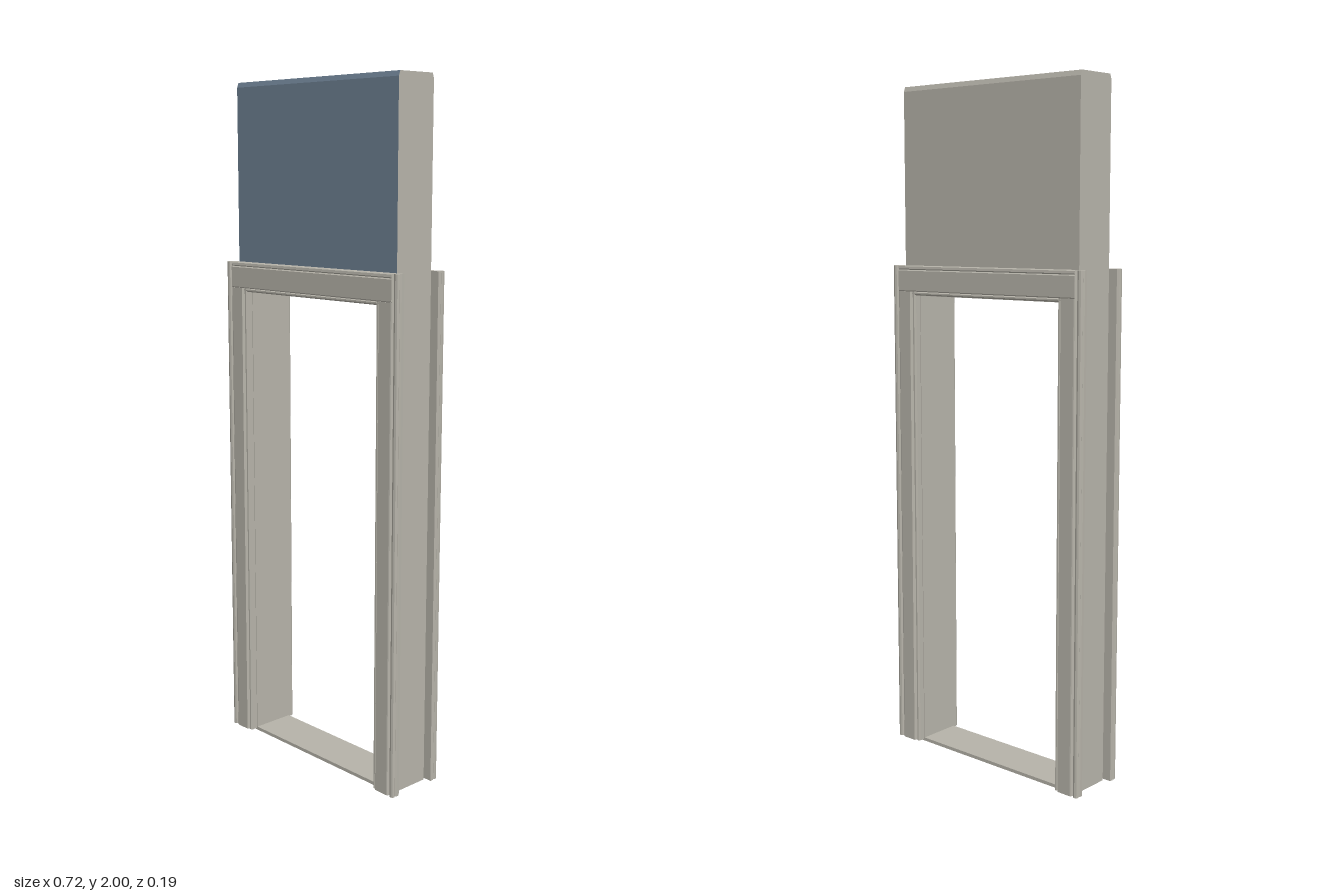
import * as THREE from 'three';

const paint = (name, color) => new THREE.MeshStandardMaterial({ name, color });

export function createModel() {
  const stone = paint('warm grey', 0xb6b3a9);
  const blue = paint('slate blue', 0x6d8092);
  const green = paint('sage green', 0x7c8b78);
  const model = new THREE.Group();

  const box = (name, parent, x0, x1, y0, y1, z0, z1) => {
    const mesh = new THREE.Mesh(new THREE.BoxGeometry(x1 - x0, y1 - y0, z1 - z0), stone);
    mesh.position.set((x0 + x1) / 2, (y0 + y1) / 2, (z0 + z1) / 2);
    mesh.name = name;
    parent.add(mesh);
  };

  // Upright moulding: an (x, z) outline raised from y0 to y1
  const upright = (name, parent, outline, side, y0, y1) => {
    const shape = new THREE.Shape(outline.map(([x, z]) => new THREE.Vector2(x * side, -z)));
    const geo = new THREE.ExtrudeGeometry(shape, { depth: y1 - y0, bevelEnabled: false });
    geo.rotateX(-Math.PI / 2).translate(0, y0, 0);
    const mesh = new THREE.Mesh(geo, stone);
    mesh.name = name;
    parent.add(mesh);
  };

  // Level moulding: a (z, y) outline drawn out along x
  const level = (name, parent, outline, half) => {
    const shape = new THREE.Shape(outline.map(([z, y]) => new THREE.Vector2(-z, y)));
    const geo = new THREE.ExtrudeGeometry(shape, { depth: half * 2, bevelEnabled: false });
    geo.rotateY(Math.PI / 2).translate(-half, 0, 0);
    const mesh = new THREE.Mesh(geo, stone);
    mesh.name = name;
    parent.add(mesh);
  };

  // Wall above the opening, with softened front and back top edges
  const panelGeo = new THREE.BoxGeometry(0.66, 0.608, 0.132, 1, 2, 1).toNonIndexed();
  const p = panelGeo.attributes.position;
  for (let i = 0; i < p.count; i++) {
    const y = p.getY(i);
    if (y > 0.3) p.setZ(i, Math.sign(p.getZ(i)) * 0.061);
    else if (y > -0.1) p.setY(i, 0.29);
  }
  panelGeo.translate(0, 1.696, 0);
  panelGeo.computeVertexNormals();
  const panel = new THREE.Mesh(panelGeo, [stone, stone, green, stone, blue, stone]);
  panel.name = 'upperWallPanel';
  model.add(panel);

  // Jambs and threshold
  box('leftJamb', model, 0.27, 0.33, 0, 1.392, -0.066, 0.066);
  box('rightJamb', model, -0.33, -0.27, 0, 1.392, -0.066, 0.066);
  box('threshold', model, -0.27, 0.27, 0, 0.01, -0.066, 0.066);

  // Outer bead with a groove beside it, then flat board, groove and inner bead
  const outerBead = [
    [0.335, 0.066], [0.357, 0.066], [0.358, 0.076], [0.355, 0.08], [0.358, 0.084],
    [0.356, 0.091], [0.35, 0.093], [0.344, 0.091], [0.339, 0.083], [0.335, 0.091],
  ];
  const legOutline = [
    [0.272, 0.066], ...outerBead.slice(1), [0.332, 0.092], [0.288, 0.092],
    [0.284, 0.083], [0.281, 0.087], [0.276, 0.087], [0.272, 0.082],
  ];
  const headerOutline = [
    [0.066, 1.405], [0.09, 1.405], [0.092, 1.408], [0.092, 1.466], [0.089, 1.469],
    [0.092, 1.472], [0.091, 1.479], [0.088, 1.481], [0.066, 1.481],
  ];
  const innerBead = [[0.066, 1.394], [0.082, 1.394], [0.087, 1.398], [0.087, 1.402], [0.083, 1.405], [0.066, 1.405]];

  // Casing on both faces of the wall
  for (const [face, turn] of [['front', 0], ['back', Math.PI]]) {
    const casing = new THREE.Group();
    casing.name = face + 'Casing';
    casing.rotation.y = turn;
    for (const side of [1, -1]) {
      upright('casingLeg', casing, legOutline, side, 0.005, 1.405);
      upright('casingCornerBead', casing, outerBead, side, 1.405, 1.481);
    }
    level('casingHeader', casing, headerOutline, 0.335);
    level('casingHeaderBead', casing, innerBead, 0.284);
    model.add(casing);
  }
  return model;
}
